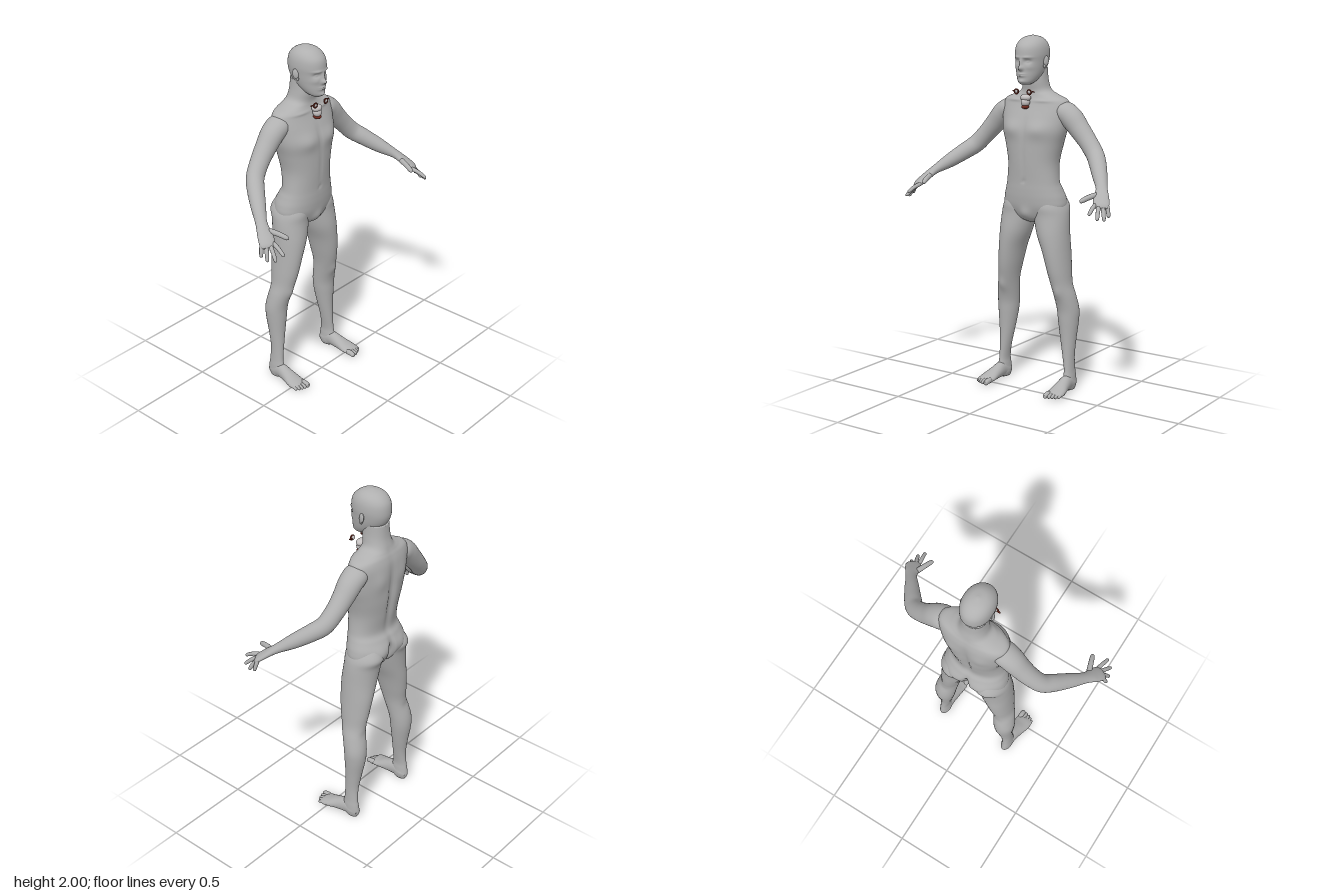
import * as THREE from 'three';

const material = (name, color) => Object.assign(new THREE.MeshStandardMaterial({ color }), { name });
const skinGrey = material('skinGrey', 0xb0b0b0);
const darkRed = material('darkRed', 0x6e2a1e);
const paleGrey = material('paleGrey', 0xc4c0c0);

// Smooth interpolation through rows of numbers, u from 0 to 1
function spline(rows, u) {
  const f = u * (rows.length - 1), i = Math.min(Math.floor(f), rows.length - 2), t = f - i;
  const at = k => rows[THREE.MathUtils.clamp(k, 0, rows.length - 1)];
  const [p, q, r, s] = [at(i - 1), at(i), at(i + 1), at(i + 2)];
  return q.map((v, k) => v + 0.5 * t * (r[k] - p[k]
    + t * (2 * p[k] - 5 * v + 4 * r[k] - s[k] + t * (3 * (v - r[k]) + s[k] - p[k]))));
}

// Closed skin over a ring function; side -1 mirrors it in x
function skin(name, ring, along, around, side = 1) {
  const pos = [], index = [];
  for (let i = 0; i <= along; i++) {
    const point = ring(i / along);
    for (let j = 0; j < around; j++) {
      const [x, y, z] = point(j / around * Math.PI * 2);
      pos.push(x * side, y, z);
      if (i === along) continue;
      const a = i * around + j, b = i * around + (j + 1) % around, c = a + around, d = b + around;
      if (side > 0) index.push(a, c, b, b, c, d);
      else index.push(a, b, c, b, d, c);
    }
  }
  // End caps
  for (const [start, flip] of [[0, side < 0], [along * around, side > 0]])
    for (let j = 1; j < around - 1; j++)
      index.push(start, start + (flip ? j + 1 : j), start + (flip ? j : j + 1));
  const geo = new THREE.BufferGeometry();
  geo.setAttribute('position', new THREE.Float32BufferAttribute(pos, 3));
  geo.setIndex(index);
  geo.computeVertexNormals();
  const mesh = new THREE.Mesh(geo, skinGrey);
  mesh.name = name;
  return mesh;
}

// Upright form: rows are [y, centre x, half width, front z, back z], bottom first.
// Bumps are [x, y, spread x, spread y, push in z], mirrored in x.
function stack(name, rows, { front = [], back = [], along = 60, around = 48, power = 1, side = 1 } = {}) {
  const push = (bumps, x, y) => bumps.reduce((sum, [bx, by, sx, sy, d]) =>
    sum + d * Math.exp(-(((Math.abs(x) - bx) / sx) ** 2) - ((y - by) / sy) ** 2), 0);
  return skin(name, u => {
    const [y, cx, w, zf, zb] = spline(rows, u);
    return a => {
      const c = Math.cos(a), s = Math.sin(a);
      const x = cx + w * Math.sign(c) * Math.abs(c) ** power;
      const z = (zf + zb) / 2 + (zf - zb) / 2 * Math.sign(s) * Math.abs(s) ** power;
      return [x, y, z + Math.min(1, Math.abs(s) * 1.6) * push(s > 0 ? front : back, x, y)];
    };
  }, along, around, side);
}

// Limb along a path: rows are [x, y, z, horizontal radius, other radius]
function limb(name, rows, side, along = 40, around = 24) {
  const up = new THREE.Vector3(0, 1, 0);
  return skin(name, u => {
    const [x, y, z, ra, rb] = spline(rows, u);
    const before = spline(rows, Math.max(0, u - 0.01)), after = spline(rows, Math.min(1, u + 0.01));
    const t = new THREE.Vector3(...after.slice(0, 3)).sub(new THREE.Vector3(...before.slice(0, 3))).normalize();
    const s = t.clone().cross(up).normalize(), n = s.clone().cross(t);
    return a => {
      const c = Math.cos(a) * ra, d = Math.sin(a) * rb;
      return [x + s.x * c + n.x * d, y + s.y * c + n.y * d, z + s.z * c + n.z * d];
    };
  }, along, around, side);
}

// Tapered finger or toe with a round tip
function digit(name, base, tip, r, side) {
  const at = (t, k, lift = 0) => [...base.map((v, i) => v + (tip[i] - v) * t + (i === 1 ? lift : 0)), r * k, r * k];
  return limb(name, [at(-0.1, 0.8), at(0.2, 1, 0.003), at(0.5, 0.95, 0.005), at(0.75, 0.9, 0.003), at(0.93, 0.72), at(1, 0.1)], side, 16, 12);
}

function ball(name, mat, p, s) {
  const mesh = new THREE.Mesh(new THREE.SphereGeometry(1, 20, 14), mat);
  mesh.name = name;
  mesh.position.set(...p);
  mesh.scale.set(...s);
  return mesh;
}

export function createModel() {
  const model = new THREE.Group();
  model.name = 'standingFigure';

  // Torso, shoulders and neck
  model.add(stack('torso', [
    [0.955, 0, 0.02, -0.1, -0.16], [0.975, 0, 0.08, -0.06, -0.2], [1.0, 0, 0.15, -0.042, -0.225],
    [1.05, 0, 0.19, -0.024, -0.25], [1.1, 0, 0.188, -0.016, -0.256], [1.15, 0, 0.172, -0.013, -0.238],
    [1.2, 0, 0.158, -0.012, -0.217], [1.3, 0, 0.152, -0.006, -0.232], [1.4, 0, 0.172, -0.004, -0.248],
    [1.48, 0, 0.195, -0.006, -0.252], [1.55, 0, 0.205, -0.025, -0.252], [1.61, 0, 0.208, -0.048, -0.248],
    [1.65, 0, 0.19, -0.062, -0.238], [1.675, 0, 0.13, -0.07, -0.228], [1.7, 0, 0.085, -0.072, -0.22],
    [1.75, 0, 0.07, -0.065, -0.207], [1.82, 0, 0.065, -0.07, -0.2],
  ], {
    along: 110, around: 96, power: 0.92,
    front: [[0.085, 1.49, 0.06, 0.045, 0.013], [0, 1.5, 0.014, 0.07, -0.005], [0, 1.2, 0.01, 0.01, -0.006],
      [0, 1.01, 0.035, 0.035, 0.014], [0.09, 1.645, 0.06, 0.008, 0.006], [0, 1.33, 0.01, 0.1, -0.004]],
    back: [[0, 1.4, 0.022, 0.18, 0.018], [0, 1.05, 0.016, 0.06, 0.05],
      [0.09, 1.53, 0.045, 0.06, -0.01], [0.09, 1.07, 0.05, 0.045, -0.014]],
  }));

  // Head with modelled face
  model.add(stack('head', [
    [1.735, 0, 0.025, -0.01, -0.06], [1.75, 0, 0.045, 0.004, -0.1], [1.78, 0, 0.062, 0.008, -0.15],
    [1.82, 0, 0.074, 0.009, -0.193], [1.86, 0, 0.081, 0.009, -0.213], [1.9, 0, 0.085, 0.011, -0.217],
    [1.94, 0, 0.081, 0.003, -0.21], [1.97, 0, 0.067, -0.022, -0.188], [1.99, 0, 0.042, -0.055, -0.155],
    [2.0, 0, 0.006, -0.1, -0.112],
  ], {
    along: 110, around: 112, power: 0.96,
    front: [[0, 1.825, 0.013, 0.013, 0.024], [0, 1.852, 0.009, 0.024, 0.012], [0.034, 1.884, 0.025, 0.007, 0.006],
      [0.034, 1.862, 0.017, 0.011, -0.012], [0.034, 1.861, 0.009, 0.006, 0.006], [0, 1.788, 0.022, 0.01, 0.01],
      [0, 1.788, 0.02, 0.003, -0.006], [0, 1.752, 0.02, 0.012, 0.008], [0.045, 1.83, 0.02, 0.015, 0.004]],
  }));

  for (const side of [1, -1]) {
    // Ear: outer shell and lobe
    const ear = ball('ear', skinGrey, [0.086 * side, 1.862, -0.108], [0.009, 0.028, 0.018]);
    ear.rotation.set(-0.15, -0.35 * side, 0);
    model.add(ear, ball('earLobe', skinGrey, [0.081 * side, 1.835, -0.1], [0.007, 0.012, 0.009]));

    // Leg down to the heel
    model.add(stack('leg', [
      [0, 0.224, 0.022, -0.12, -0.195], [0.03, 0.224, 0.031, -0.1, -0.208], [0.075, 0.225, 0.029, -0.1, -0.204],
      [0.12, 0.224, 0.026, -0.108, -0.197], [0.2, 0.217, 0.032, -0.11, -0.195], [0.3, 0.21, 0.045, -0.11, -0.21],
      [0.4, 0.206, 0.058, -0.105, -0.228], [0.47, 0.203, 0.063, -0.1, -0.23], [0.55, 0.192, 0.061, -0.08, -0.217],
      [0.62, 0.178, 0.057, -0.06, -0.21], [0.7, 0.165, 0.063, -0.042, -0.22], [0.8, 0.148, 0.073, -0.03, -0.23],
      [0.9, 0.125, 0.09, -0.026, -0.233], [1.0, 0.108, 0.1, -0.035, -0.242], [1.06, 0.104, 0.09, -0.036, -0.262],
      [1.13, 0.095, 0.06, -0.06, -0.225],
    ], { side, along: 90, around: 40, front: [[0.186, 0.57, 0.026, 0.035, 0.009]], back: [[0.19, 0.57, 0.03, 0.03, 0.006]] }));

    // Foot and toes
    model.add(limb('foot', [
      [0.224, 0.03, -0.2, 0.018, 0.02], [0.224, 0.038, -0.17, 0.031, 0.037], [0.226, 0.047, -0.12, 0.032, 0.046],
      [0.23, 0.037, -0.06, 0.04, 0.036], [0.235, 0.026, -0.01, 0.049, 0.025], [0.236, 0.02, 0.025, 0.049, 0.018],
      [0.235, 0.016, 0.045, 0.04, 0.011],
    ], side, 40, 32));
    [[0.204, 0.08, 0.016], [0.227, 0.078, 0.011], [0.245, 0.072, 0.0105], [0.262, 0.064, 0.01], [0.277, 0.052, 0.01]]
      .forEach(([x, z, r]) => model.add(digit('toe', [x, 0.019, z - 0.055], [x, 0.012, z], r, side)));

    // Arm and palm
    model.add(limb('arm', [
      [0.12, 1.615, -0.15, 0.03, 0.03], [0.17, 1.592, -0.15, 0.066, 0.056], [0.225, 1.555, -0.15, 0.066, 0.062],
      [0.28, 1.495, -0.148, 0.058, 0.057], [0.34, 1.43, -0.14, 0.052, 0.051], [0.395, 1.37, -0.12, 0.049, 0.05],
      [0.44, 1.33, -0.075, 0.047, 0.047], [0.5, 1.275, 0, 0.04, 0.039], [0.553, 1.227, 0.07, 0.031, 0.024],
      [0.582, 1.188, 0.122, 0.041, 0.019], [0.604, 1.156, 0.16, 0.042, 0.016], [0.613, 1.142, 0.175, 0.03, 0.007],
    ], side, 90, 32));

    // Fingers and thumb
    [[[0.576, 1.157, 0.172], [0.595, 1.12, 0.268]], [[0.595, 1.15, 0.17], [0.63, 1.092, 0.243]],
      [[0.614, 1.148, 0.16], [0.645, 1.082, 0.197]], [[0.63, 1.153, 0.143], [0.648, 1.095, 0.155]]]
      .forEach(([base, tip]) => model.add(digit('finger', base, tip, 0.0115, side)));
    model.add(digit('thumb', [0.557, 1.2, 0.105], [0.515, 1.175, 0.228], 0.015, side));

    // Small eye piece floating before the throat
    model.add(ball('eyePieceCentre', paleGrey, [0.042 * side, 1.697, -0.012], [0.011, 0.011, 0.011]));
    const rim = new THREE.Mesh(new THREE.TorusGeometry(0.013, 0.004, 8, 20), darkRed);
    rim.name = 'eyePieceRim';
    rim.position.set(0.042 * side, 1.696, -0.008);
    model.add(rim, ball('eyePieceTip', darkRed, [0.062 * side, 1.698, -0.015], [0.012, 0.004, 0.005]));
  }

  // Small mouth piece below the throat
  model.add(
    ball('mouthPieceTop', paleGrey, [0, 1.662, -0.035], [0.032, 0.02, 0.026]),
    ball('mouthPieceBody', paleGrey, [0, 1.638, -0.033], [0.025, 0.026, 0.026]),
    ball('mouthPieceBase', darkRed, [0, 1.612, -0.032], [0.021, 0.012, 0.024]));
  return model;
}
